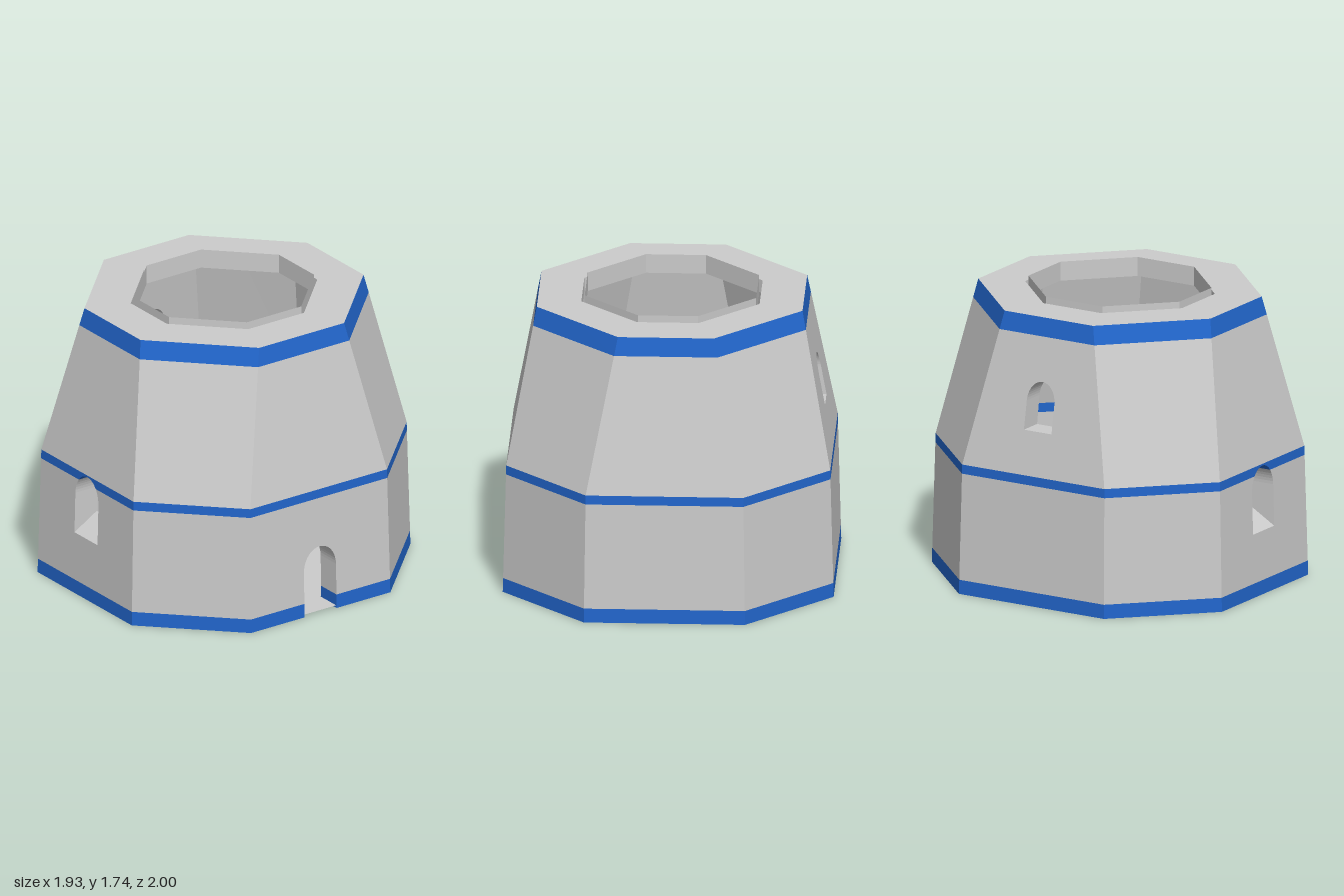
import * as THREE from 'three';

const WALL = 0xcccccc, TRIM = 0x2266cc;
const INSET = 0.84; // inner skin relative to the outer one

// Octagon sections: y, half-width x, half-depth z, corner x, corner z
const SECTIONS = [
  [0, 0.965, 1.0, 0.47, 0.5],
  [0.78, 0.945, 0.98, 0.46, 0.49],
  [1.7, 0.775, 0.8, 0.28, 0.305],
];
// Horizontal rows of the wall: name, bottom, top, color
const ROWS = [
  ['baseBand', 0, 0.085, TRIM],
  ['lowerWall', 0.085, 0.725, WALL],
  ['middleBand', 0.725, 0.78, TRIM],
  ['upperWall', 0.78, 1.59, WALL],
  ['topBand', 1.59, 1.7, TRIM],
];
// Arched openings by face index (0 = front, going round towards +x)
const OPENINGS = {
  0: { name: 'frontWindow', y0: 0.38, top: 0.77, w: 0.115, r: 0.14, rise: 0.095 },
  2: { name: 'doorway', y0: 0, top: 0.42, w: 0.115, r: 0.14, rise: 0 },
  6: { name: 'sideWindow', y0: 1.04, top: 1.33, w: 0.095, r: 0.12, rise: 0 },
};

function octagon(ax, az, cx, cz, y) {
  return [[-cx, az], [cx, az], [ax, cz], [ax, -cz], [cx, -az], [-cx, -az], [-ax, -cz], [-ax, cz]]
    .map(([x, z]) => new THREE.Vector3(x, y, z));
}

function ringAt(y, k = 1) {
  const i = y <= SECTIONS[1][0] ? 0 : 1;
  const [a, b] = [SECTIONS[i], SECTIONS[i + 1]];
  const f = (y - a[0]) / (b[0] - a[0]);
  const v = [1, 2, 3, 4].map((n) => k * THREE.MathUtils.lerp(a[n], b[n], f));
  return octagon(...v, y);
}

// Point on a face, u measured sideways from its middle (edge: u = +-Infinity)
function facePoint(face, y, u, k) {
  const ring = ringAt(y, k);
  const a = ring[face], b = ring[(face + 1) % 8];
  const half = a.distanceTo(b) / 2;
  const t = THREE.MathUtils.clamp(u / half, -1, 1);
  return a.clone().lerp(b, 0.5 + t / 2);
}

// Half-width of an arched opening at height y
function archWidth(o, y) {
  const d = Math.max(0, (y - (o.top - o.r)) / o.r);
  return o.w * Math.sqrt(Math.max(0, 1 - d * d));
}

function archHeights(o) {
  const ys = [o.y0];
  for (let i = 0; i <= 12; i++) ys.push(o.top - o.r + o.r * Math.sin((i / 12) * Math.PI / 2));
  return ys;
}

function quad(out, a, b, c, d) {
  out.push(a, b, c, a, c, d);
}

function addMesh(group, name, points, color) {
  const geometry = new THREE.BufferGeometry().setFromPoints(points);
  geometry.computeVertexNormals();
  const material = new THREE.MeshStandardMaterial({ color, flatShading: true, side: THREE.DoubleSide });
  const mesh = new THREE.Mesh(geometry, material);
  mesh.name = name;
  group.add(mesh);
}

// One face of one row, left open where the arch passes
function panel(out, face, y0, y1, k) {
  let o = OPENINGS[face];
  if (o && k < 1) o = { ...o, y0: o.y0 + o.rise };
  const ys = [y0, y1];
  if (o) ys.push(...archHeights(o).filter((y) => y > y0 && y < y1));
  ys.sort((a, b) => a - b);
  for (let i = 0; i + 1 < ys.length; i++) {
    const [lo, hi] = [ys[i], ys[i + 1]];
    const mid = (lo + hi) / 2;
    const open = o && mid > o.y0 && mid < o.top;
    const wl = open ? archWidth(o, lo) : 0, wh = open ? archWidth(o, hi) : 0;
    for (const s of [-1, 1]) {
      quad(out, facePoint(face, lo, s * 9, k), facePoint(face, lo, s * wl, k),
        facePoint(face, hi, s * wh, k), facePoint(face, hi, s * 9, k));
    }
  }
}

// Jambs, arch and sill between the outer and inner skins
function reveal(group, face) {
  const o = OPENINGS[face];
  const parts = { [WALL]: [], [TRIM]: [] };
  const cuts = ROWS.map((r) => r[2]).filter((y) => y > o.y0 && y < o.top);
  const ys = [...archHeights(o), ...cuts].sort((a, b) => a - b);
  const inner = (y) => Math.max(y, o.y0 + o.rise);
  const pair = (y, s) => [facePoint(face, y, s * archWidth(o, y), 1),
    facePoint(face, inner(y), s * archWidth(o, y), INSET)];
  for (let i = 0; i + 1 < ys.length; i++) {
    const mid = (ys[i] + ys[i + 1]) / 2;
    const row = ROWS.find((r) => mid >= r[1] && mid <= r[2]);
    for (const s of [-1, 1]) {
      const [a, b] = pair(ys[i], s), [d, c] = pair(ys[i + 1], s);
      quad(parts[row[3]], a, b, c, d);
    }
  }
  if (o.y0 > 0) {
    const [a, b] = pair(o.y0, -1), [d, c] = pair(o.y0, 1);
    quad(parts[WALL], a, b, c, d);
  }
  for (const color of [WALL, TRIM]) {
    if (parts[color].length) addMesh(group, o.name + (color === TRIM ? 'Trim' : 'Reveal'), parts[color], color);
  }
}

// Strip joining two octagons
function loft(lower, upper) {
  const out = [];
  for (let i = 0; i < 8; i++) {
    const j = (i + 1) % 8;
    quad(out, lower[i], lower[j], upper[j], upper[i]);
  }
  return out;
}

export function createModel() {
  const tower = new THREE.Group();
  tower.name = 'tower';

  // Outer and inner skins, row by row
  for (const [name, y0, y1, color] of ROWS) {
    for (const [k, suffix] of [[1, ''], [INSET, 'Inside']]) {
      const points = [];
      for (let face = 0; face < 8; face++) panel(points, face, y0, y1, k);
      addMesh(tower, name + suffix, points, color);
    }
  }
  for (const face of Object.keys(OPENINGS)) reveal(tower, Number(face));

  // Flat roof with an octagonal hole, and the thin collar standing in it
  addMesh(tower, 'roof', loft(ringAt(1.7), octagon(0.52, 0.54, 0.18, 0.2, 1.7)), WALL);
  addMesh(tower, 'collar', loft(octagon(0.5, 0.52, 0.175, 0.195, 1.62), octagon(0.5, 0.52, 0.175, 0.195, 1.735)), WALL);
  addMesh(tower, 'roofHoleEdge', loft(octagon(0.52, 0.54, 0.18, 0.2, 1.62), octagon(0.52, 0.54, 0.18, 0.2, 1.7)), WALL);

  // Floor with a tongue running out through the doorway
  const outline = [[0.775, 0.64], [0.8, 0.115], [0.96, 0.115], [0.96, -0.115], [0.8, -0.115], [0.86, -0.5],
    [0.45, -0.95], [-0.45, -0.97], [-0.94, -0.48], [-0.94, 0.48], [-0.46, 0.98]];
  const shape = new THREE.Shape(outline.map(([x, z]) => new THREE.Vector2(x, -z)));
  const floor = new THREE.Mesh(
    new THREE.ShapeGeometry(shape).rotateX(-Math.PI / 2).translate(0, 0.015, 0),
    new THREE.MeshStandardMaterial({ color: WALL, side: THREE.DoubleSide }),
  );
  floor.name = 'floor';
  tower.add(floor);
  return tower;
}
